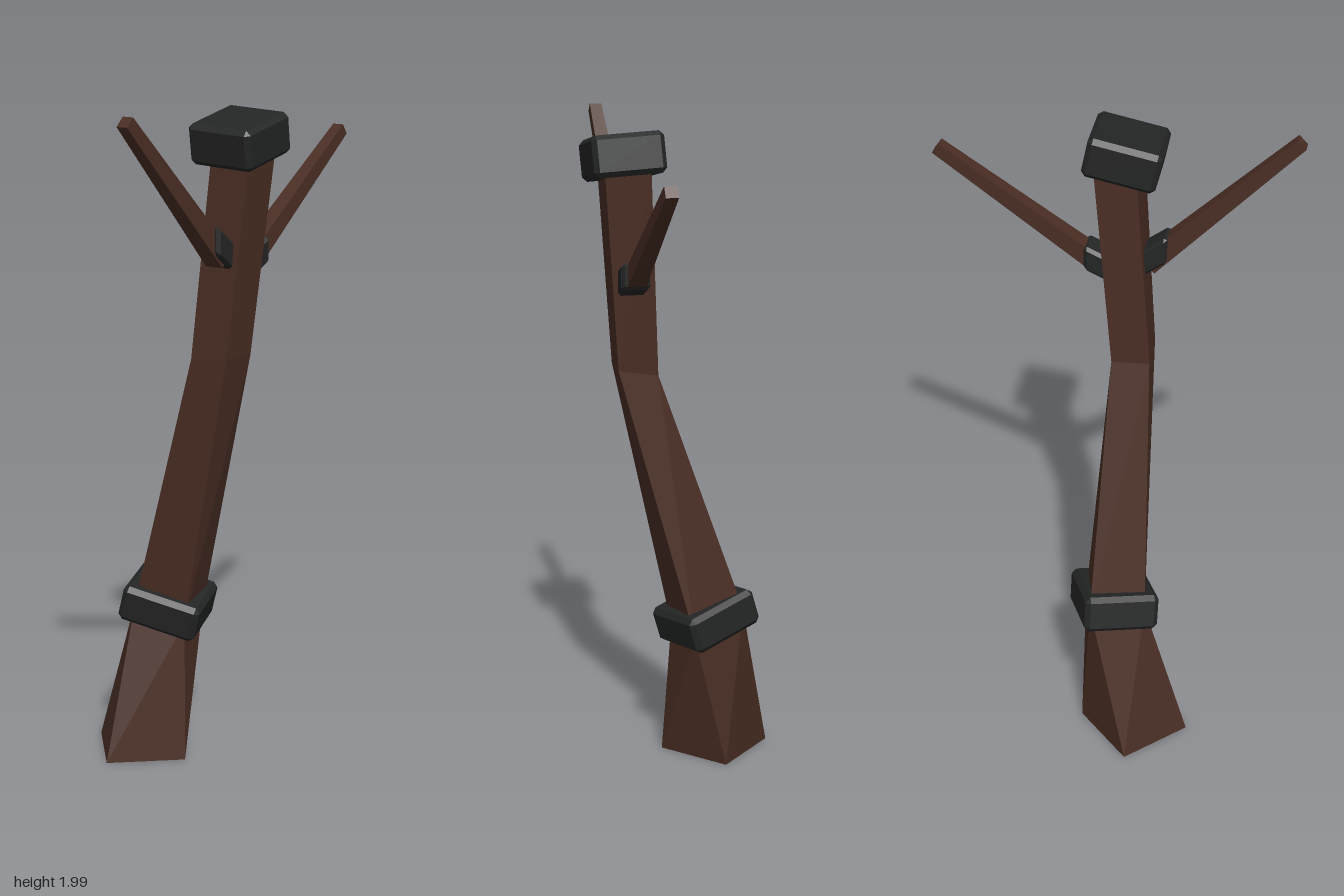
import * as THREE from 'three';
import { ConvexGeometry } from 'three/addons/geometries/ConvexGeometry.js';

const bark = new THREE.MeshStandardMaterial({ name: 'dark brown wood', color: 0x4a2e24 });
const iron = new THREE.MeshStandardMaterial({ name: 'black iron', color: 0x242525 });

function addMesh(parent, name, geometry, material) {
  const mesh = new THREE.Mesh(geometry, material);
  mesh.name = name;
  parent.add(mesh);
  return mesh;
}

// Flat-sided solid through four-cornered sections, corners counter-clockwise seen from the far end
function loft(sections) {
  const pos = [];
  const tri = (a, b, c) => pos.push(...a, ...b, ...c);
  for (let s = 0; s < sections.length - 1; s++) {
    const lo = sections[s], hi = sections[s + 1];
    for (let i = 0; i < 4; i++) {
      const j = (i + 1) % 4;
      tri(lo[i], lo[j], hi[j]);
      tri(lo[i], hi[j], hi[i]);
    }
  }
  const first = sections[0], last = sections[sections.length - 1];
  tri(first[0], first[2], first[1]);
  tri(first[0], first[3], first[2]);
  tri(last[0], last[1], last[2]);
  tri(last[0], last[2], last[3]);
  const g = new THREE.BufferGeometry();
  g.setAttribute('position', new THREE.Float32BufferAttribute(pos, 3));
  g.computeVertexNormals();
  return g;
}

// Box with small chamfers; slope shears it upward along x
function chamferBox(w, h, d, c, slope = 0) {
  const pts = [];
  for (const x of [-1, 1]) for (const y of [-1, 1]) for (const z of [-1, 1]) {
    for (let k = 0; k < 3; k++) {
      const p = new THREE.Vector3(
        x * (w / 2 - (k === 0 ? 0 : c)),
        y * (h / 2 - (k === 1 ? 0 : c)),
        z * (d / 2 - (k === 2 ? 0 : c)));
      p.y += p.x * slope;
      pts.push(p);
    }
  }
  return new ConvexGeometry(pts);
}

// Straight square branch tapering from one point to another
function branch(from, to, r0, r1) {
  const a = new THREE.Vector3(...from), b = new THREE.Vector3(...to);
  const d = b.clone().sub(a).normalize();
  const ring = (p, r) => [[1, 1], [-1, 1], [-1, -1], [1, -1]].map(
    ([u, v]) => [p.x - d.y * u * r, p.y + d.x * u * r, p.z + v * r]);
  return loft([ring(a, r0), ring(b, r1)]);
}

export function createModel() {
  const model = new THREE.Group();
  model.name = 'twistedPost';

  // Twisting trunk; corners run front, right, back, left
  addMesh(model, 'trunk', loft([
    [[-0.12, 0, 0.05], [0.05, 0, -0.12], [-0.12, 0, -0.29], [-0.29, 0, -0.12]],
    [[-0.09, 0.43, 0.025], [0.055, 0.43, -0.02], [0.01, 0.5, -0.18], [-0.15, 0.48, -0.12]],
    [[-0.115, 1.27, 0.2], [0, 1.27, 0.2], [-0.005, 1.25, 0.08], [-0.12, 1.26, 0.075]],
    [[-0.07, 1.86, 0.245], [0.055, 1.88, 0.245], [0.055, 1.88, 0.11], [-0.07, 1.86, 0.11]],
  ]), bark);

  // Iron band low on the trunk, square to its lean
  const band = addMesh(model, 'lowerBand', chamferBox(0.23, 0.115, 0.245, 0.015), iron);
  band.position.set(-0.045, 0.468, -0.075);
  band.rotation.set(0.27, 0.4, 0);

  // Tilted cap
  const cap = addMesh(model, 'topCap', chamferBox(0.215, 0.12, 0.212, 0.014), iron);
  cap.position.set(-0.028, 1.898, 0.178);
  cap.rotation.set(0.05, 0.04, 0.2);

  // Branches and the iron cuffs they grow from
  addMesh(model, 'rightBranch', branch([-0.1, 1.56, 0.16], [-0.522, 1.982, 0.172], 0.03, 0.018), bark);
  addMesh(model, 'leftBranch', branch([0.04, 1.54, 0.16], [0.515, 1.878, 0.148], 0.028, 0.018), bark);
  const rightCuff = addMesh(model, 'rightCuff', chamferBox(0.1, 0.085, 0.085, 0.01, -0.75), iron);
  rightCuff.position.set(-0.107, 1.585, 0.162);
  const leftCuff = addMesh(model, 'leftCuff', chamferBox(0.1, 0.08, 0.085, 0.01, 0.45), iron);
  leftCuff.position.set(0.037, 1.548, 0.162);

  return model;
}
